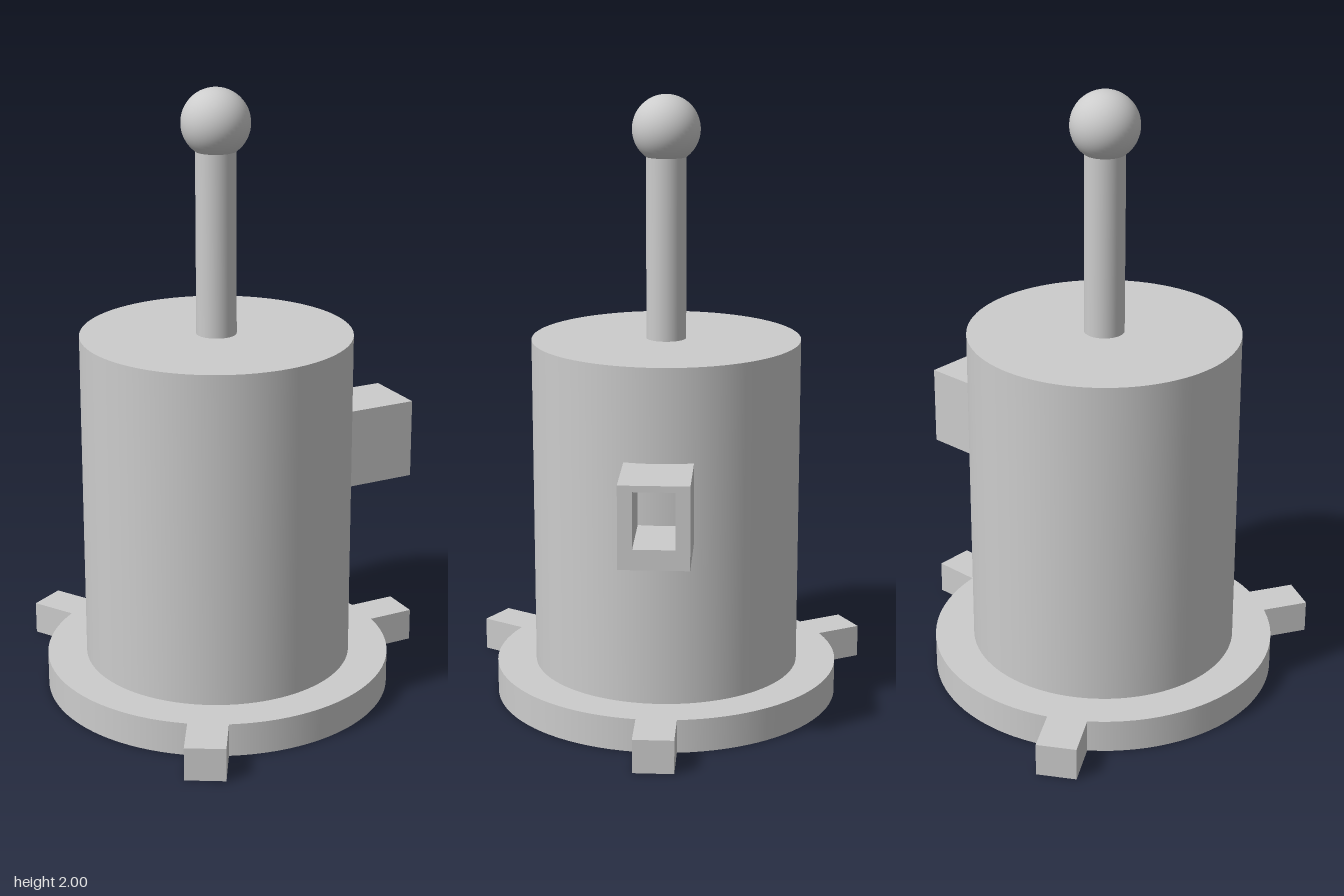
import * as THREE from 'three';

export function createModel() {
  const model = new THREE.Group();
  const grey = new THREE.MeshStandardMaterial({ color: 0xcccccc });
  grey.name = 'light grey';

  // everything is built around the vertical axis of the drum
  const machine = new THREE.Group();
  machine.name = 'machine';
  machine.position.x = -0.08;
  model.add(machine);

  const add = (name, geometry, parent = machine) => {
    const mesh = new THREE.Mesh(geometry, grey);
    mesh.name = name;
    parent.add(mesh);
    return mesh;
  };
  const cylinder = (name, radius, bottom, top) =>
    add(name, new THREE.CylinderGeometry(radius, radius, top - bottom, 96)
      .translate(0, (bottom + top) / 2, 0));

  // base plate with three lugs
  cylinder('basePlate', 0.57, 0, 0.11);
  for (let i = 0; i < 3; i++) {
    const inner = 0.56, outer = 0.725;
    const lug = add('baseLug', new THREE.BoxGeometry(outer - inner, 0.11, 0.13)
      .translate((inner + outer) / 2, 0.055, 0));
    lug.rotation.y = (i * Math.PI * 2) / 3;
  }

  // drum, rod and ball knob
  cylinder('drum', 0.44, 0.11, 1.21);
  cylinder('rod', 0.065, 1.21, 1.82);
  add('ballKnob', new THREE.SphereGeometry(0.11, 48, 32).translate(0, 1.89, 0));

  // rectangular side port, open at its outer end
  const rectangle = (path, halfWidth, bottom, top) => {
    path.moveTo(-halfWidth, bottom);
    path.lineTo(halfWidth, bottom);
    path.lineTo(halfWidth, top);
    path.lineTo(-halfWidth, top);
    path.closePath();
    return path;
  };
  const frame = rectangle(new THREE.Shape(), 0.11, 0.64, 0.905);
  frame.holes.push(rectangle(new THREE.Path(), 0.065, 0.705, 0.885));
  add('sidePort', new THREE.ExtrudeGeometry(frame, { depth: 0.26, bevelEnabled: false })
    .rotateY(Math.PI / 2).translate(0.42, 0, 0));

  return model;
}
